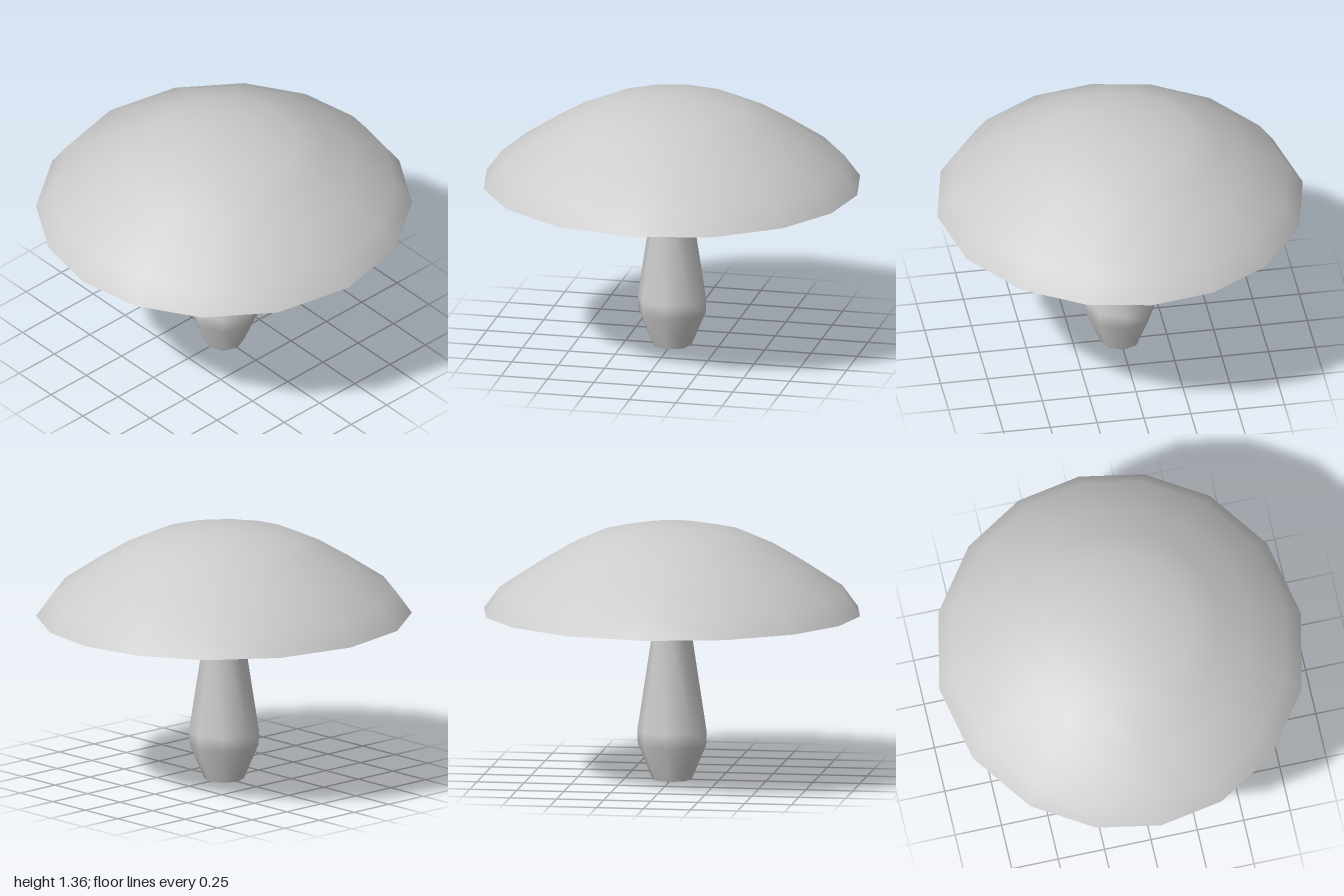
import * as THREE from 'three';
import { mergeVertices } from 'three/addons/utils/BufferGeometryUtils.js';

const material = new THREE.MeshStandardMaterial({ color: 0xcccccc, side: THREE.DoubleSide });

// Turned part with smooth normals; warp moves each vertex by a rule
function turned(name, profile, sides, warp) {
  const points = profile.map(([r, y]) => new THREE.Vector2(r, y));
  let geometry = new THREE.LatheGeometry(points, sides);
  geometry.deleteAttribute('uv');
  geometry.deleteAttribute('normal');
  const p = geometry.attributes.position;
  for (let i = 0; warp && i < p.count; i++) {
    const [x, z] = warp(p.getX(i), p.getZ(i));
    p.setXYZ(i, x, p.getY(i), z);
  }
  geometry = mergeVertices(geometry, 1e-4);
  geometry.computeVertexNormals();
  const mesh = new THREE.Mesh(geometry, material);
  mesh.name = name;
  return mesh;
}

// Slightly oval outline whose corners gather toward the front and back
function oval(x, z) {
  const r = Math.hypot(x, z);
  const a = Math.atan2(x, z);
  const b = a - 0.055 * Math.sin(2 * a);
  return [r * Math.sin(b) * (1 - 0.025 * r), r * Math.cos(b)];
}

export function createModel() {
  const group = new THREE.Group();
  group.name = 'mushroom';

  // Domed top of the cap
  group.add(turned('cap', [
    [1, 0.89], [0.915, 1.005], [0.71, 1.14], [0.545, 1.24],
    [0.395, 1.307], [0.2, 1.348], [0, 1.36],
  ], 16, oval));

  // Flat rim and hollow underside
  group.add(turned('capUnderside', [
    [0, 0.965], [0.14, 0.97], [0.46, 1.03], [0.79, 0.885], [1, 0.89],
  ], 16, oval));

  // Bulbous stalk, flaring where it meets the cap
  group.add(turned('stalk', [
    [0.105, 0], [0.182, 0.185], [0.184, 0.26], [0.1, 0.81], [0.142, 0.98],
  ], 8));

  // Flat foot of the stalk
  group.add(turned('stalkBase', [[0, 0], [0.105, 0]], 8));

  return group;
}
